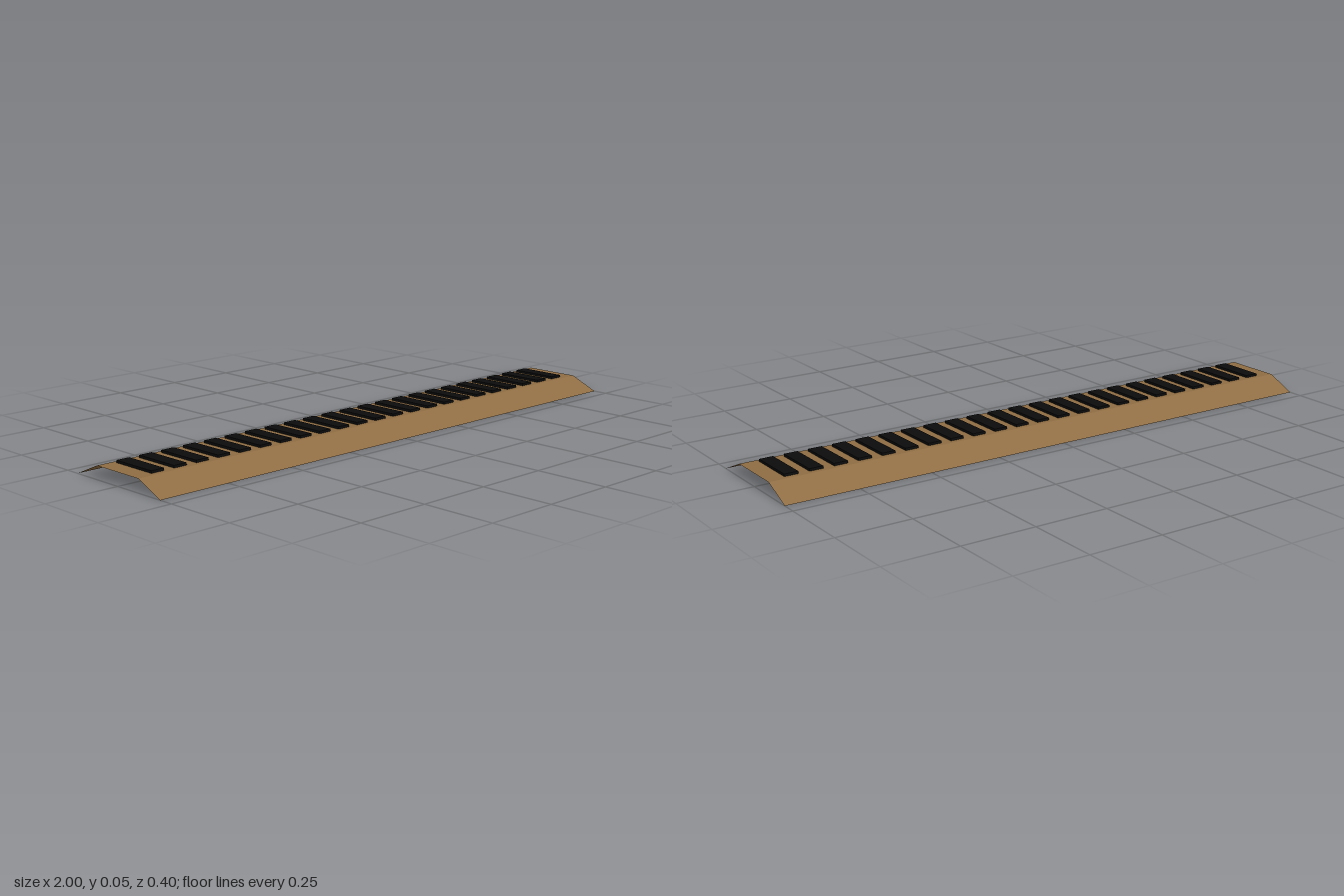
import * as THREE from 'three';

export function createModel() {
  const model = new THREE.Group();
  const brown = new THREE.MeshStandardMaterial({ color: 0x8f6d43, side: THREE.DoubleSide });
  brown.name = 'brown';
  const black = new THREE.MeshStandardMaterial({ color: 0x0b0b0b });
  black.name = 'black';

  const length = 2, deckY = 0.0435;

  // Open folded sheet: front slope, flat deck, back slope
  const profile = [[0.2, 0], [0.1, deckY], [-0.1, deckY], [-0.2, 0]]; // [z, y]
  const names = ['frontSlope', 'deck', 'backSlope'];
  names.forEach((name, i) => {
    const [z0, y0] = profile[i], [z1, y1] = profile[i + 1];
    const h = length / 2;
    const geometry = new THREE.BufferGeometry();
    geometry.setAttribute('position', new THREE.Float32BufferAttribute(
      [-h, y0, z0, h, y0, z0, h, y1, z1, -h, y1, z1], 3));
    geometry.setIndex([0, 1, 2, 0, 2, 3]);
    geometry.computeVertexNormals();
    const panel = new THREE.Mesh(geometry, brown);
    panel.name = name;
    model.add(panel);
  });

  // Row of dark cross slats lying on the deck
  const slats = new THREE.Group();
  slats.name = 'slats';
  const count = 23, spacing = 0.0834;
  const slatGeometry = new THREE.BoxGeometry(0.047, 0.008, 0.168);
  for (let i = 0; i < count; i++) {
    const slat = new THREE.Mesh(slatGeometry, black);
    slat.name = 'slat';
    slat.position.set((i - (count - 1) / 2) * spacing, 0.048, 0);
    slats.add(slat);
  }
  model.add(slats);
  return model;
}
